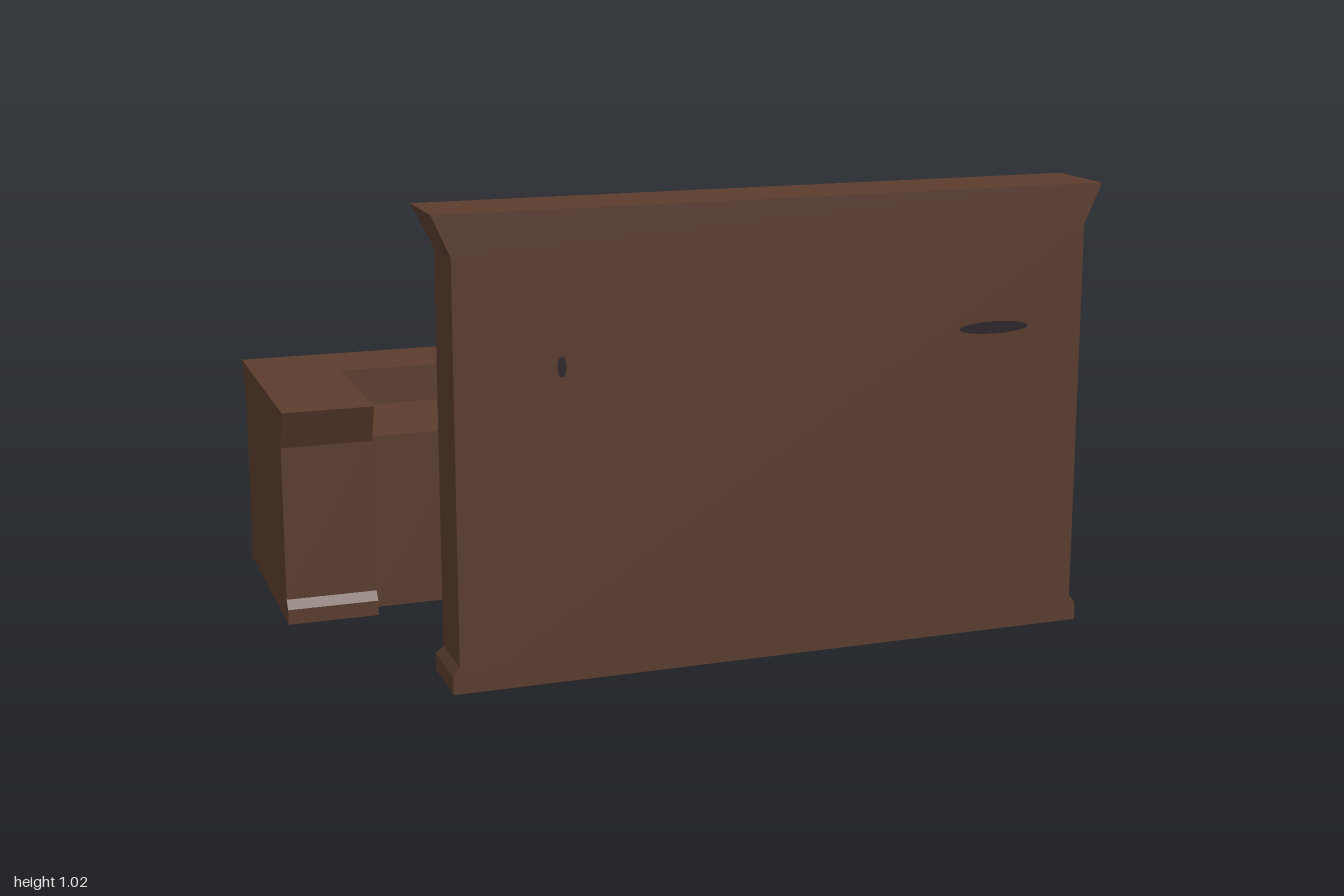
import * as THREE from 'three';

const mat = (name, color) => {
  const m = new THREE.MeshStandardMaterial({ color });
  m.name = name;
  return m;
};

export function createModel() {
  const wood = mat('brown wood', 0x5b3d2e);
  const leather = mat('dark leather', 0x2e2425);
  const stainMat = mat('dark stain', 0x2c2328);
  const metal = mat('aged bronze', 0x5a4030);
  const root = new THREE.Group();
  root.name = 'barSet';

  const group = (name) => {
    const g = new THREE.Group();
    g.name = name;
    root.add(g);
    return g;
  };
  const add = (parent, name, geo, material = wood) => {
    const m = new THREE.Mesh(geo, material);
    m.name = name;
    parent.add(m);
    return m;
  };
  // Box given by its limits on each axis
  const block = (parent, name, x0, x1, y0, y1, z0, z1) =>
    add(parent, name, new THREE.BoxGeometry(x1 - x0, y1 - y0, z1 - z0)
      .translate((x0 + x1) / 2, (y0 + y1) / 2, (z0 + z1) / 2));
  // Block whose top is a different rectangle from its bottom: [x0, x1, z0, z1]
  const taper = (parent, name, y0, y1, bottom, top) => {
    const geo = new THREE.BoxGeometry(1, 1, 1);
    const p = geo.attributes.position;
    for (let i = 0; i < p.count; i++) {
      const upper = p.getY(i) > 0;
      const r = upper ? top : bottom;
      p.setXYZ(i, p.getX(i) < 0 ? r[0] : r[1], upper ? y1 : y0, p.getZ(i) < 0 ? r[2] : r[3]);
    }
    geo.computeVertexNormals();
    return add(parent, name, geo);
  };
  // Side profile of [z, y] points swept along x
  const sweep = (parent, name, x0, x1, points) => {
    const shape = new THREE.Shape(points.map(([z, y]) => new THREE.Vector2(z, y)));
    const geo = new THREE.ExtrudeGeometry(shape, { depth: x1 - x0, bevelEnabled: false });
    return add(parent, name, geo.rotateY(-Math.PI / 2).translate(x1, 0, 0));
  };

  // Counter: long bar with a lower work surface, two end wings and inner cupboards
  const counter = group('counter');
  const outer = [[-0.38, 0.005], [-0.38, 0.04], [-0.365, 0.06], [-0.365, 0.42], [-0.41, 0.51]];
  sweep(counter, 'longBar', -0.79, 0.79,
    [...outer, [-0.2, 0.51], [-0.2, 0.42], [0.055, 0.42], [0.055, 0.005]]);
  const wing = [...outer, [0.2, 0.51], [0.163, 0.42], [0.163, 0.06], [0.18, 0.04], [0.18, 0.005]];
  for (const s of [-1, 1]) {
    const [a, b, c] = s > 0 ? [0.535, 0.79, 1] : [-0.79, -0.535, -0.79];
    sweep(counter, 'wing', s > 0 ? b : -1, s > 0 ? c : -0.79, wing);
    block(counter, 'innerCupboard', a, b, 0.005, 0.42, 0.05, 0.12);
  }

  // Back cabinet: shelves open toward the bar
  const cabinet = group('shelfCabinet');
  block(cabinet, 'backPanel', -0.73, 0.72, 0, 0.93, 0.71, 0.728);
  for (const x of [-0.73, 0.705]) block(cabinet, 'sideWall', x, x + 0.015, 0, 0.93, 0.58, 0.71);
  block(cabinet, 'plinth', -0.745, 0.735, 0, 0.04, 0.57, 0.73);
  taper(cabinet, 'plinthMoulding', 0.04, 0.058, [-0.745, 0.735, 0.57, 0.73], [-0.73, 0.72, 0.582, 0.73]);
  taper(cabinet, 'cornice', 0.93, 1.02, [-0.73, 0.72, 0.58, 0.73], [-0.77, 0.76, 0.543, 0.73]);
  for (const x of [-0.7, -0.24, 0.23, 0.69])
    block(cabinet, 'divider', x - 0.016, x + 0.016, 0.41, 0.93, 0.582, 0.71);
  for (const y of [0.42, 0.59, 0.76]) block(cabinet, 'shelf', -0.715, 0.705, y - 0.007, y + 0.007, 0.59, 0.71);

  // Stools
  const seatProfile = [[0, 0.288], [0.08, 0.288], [0.09, 0.298], [0.092, 0.33], [0.09, 0.354],
    [0.08, 0.366], [0.05, 0.371], [0, 0.373]].map(([r, y]) => new THREE.Vector2(r, y));
  const legPath = new THREE.CatmullRomCurve3([[0.05, 0.29], [0.053, 0.22], [0.06, 0.12], [0.074, 0]]
    .map(([r, y]) => new THREE.Vector3(r, y, r)));
  for (const [x, z] of [[-0.775, -0.575], [-0.505, -0.64], [-0.01, -0.575], [0.453, -0.575]]) {
    const stool = group('stool');
    stool.position.set(x, 0, z);
    add(stool, 'seat', new THREE.LatheGeometry(seatProfile, 24), leather);
    for (let i = 0; i < 4; i++)
      add(stool, 'leg', new THREE.TubeGeometry(legPath, 8, 0.009, 8)).rotation.y = i * Math.PI / 2;
    for (const [r, t, y] of [[0.087, 0.007, 0.12], [0.073, 0.005, 0.262]])
      add(stool, 'footRing', new THREE.TorusGeometry(r, t, 8, 28).rotateX(Math.PI / 2).translate(0, y, 0));
  }

  // Candelabrum: stepped stem, four curved arms and five flared cups
  const candle = group('candelabrum');
  candle.position.set(0.832, 0.51, -0.305);
  const stem = [[0, 0], [0.033, 0], [0.03, 0.006], [0.008, 0.028], [0.005, 0.04], [0.005, 0.09],
    [0.009, 0.1], [0.005, 0.11], [0.005, 0.165], [0, 0.165]].map(([r, y]) => new THREE.Vector2(r, y));
  add(candle, 'stem', new THREE.LatheGeometry(stem, 12), metal);
  const cup = [[0, 0], [0.006, 0], [0.008, 0.016], [0.015, 0.034], [0.015, 0.038], [0, 0.038]]
    .map(([r, y]) => new THREE.Vector2(r, y));
  add(candle, 'centreCup', new THREE.LatheGeometry(cup, 10).translate(0, 0.167, 0), metal);
  const armPath = new THREE.CatmullRomCurve3([[0, 0.15], [0.015, 0.125], [0.033, 0.122], [0.046, 0.145]]
    .map(([r, y]) => new THREE.Vector3(r, y, 0)));
  for (let i = 0; i < 4; i++) {
    const arm = new THREE.Group();
    arm.name = 'arm';
    arm.rotation.y = i * Math.PI / 2;
    candle.add(arm);
    add(arm, 'branch', new THREE.TubeGeometry(armPath, 10, 0.005, 8), metal);
    add(arm, 'cup', new THREE.LatheGeometry(cup, 10).translate(0.045, 0.138, 0), metal);
  }

  // Thin worn patches on the wood; turn is the heading of the patch
  const stain = (x, y, z, w, h, turn) => {
    const m = add(root, 'wornPatch', new THREE.CircleGeometry(0.5, 16).scale(w, h, 1), stainMat);
    m.position.set(x, y, z);
    m.rotation.y = turn;
  };
  stain(-0.5, 0.69, 0.732, 0.02, 0.045, 0);
  stain(0.5, 0.708, 0.732, 0.17, 0.028, 0);
  stain(0.755, 0.412, 0.122, 0.07, 0.016, 0);
  stain(0.56, 0.21, 0.708, 0.06, 0.09, Math.PI);
  stain(1.002, 0.425, -0.3, 0.05, 0.035, Math.PI / 2);
  stain(0.722, 0.725, 0.59, 0.015, 0.045, Math.PI / 2);

  return root;
}
